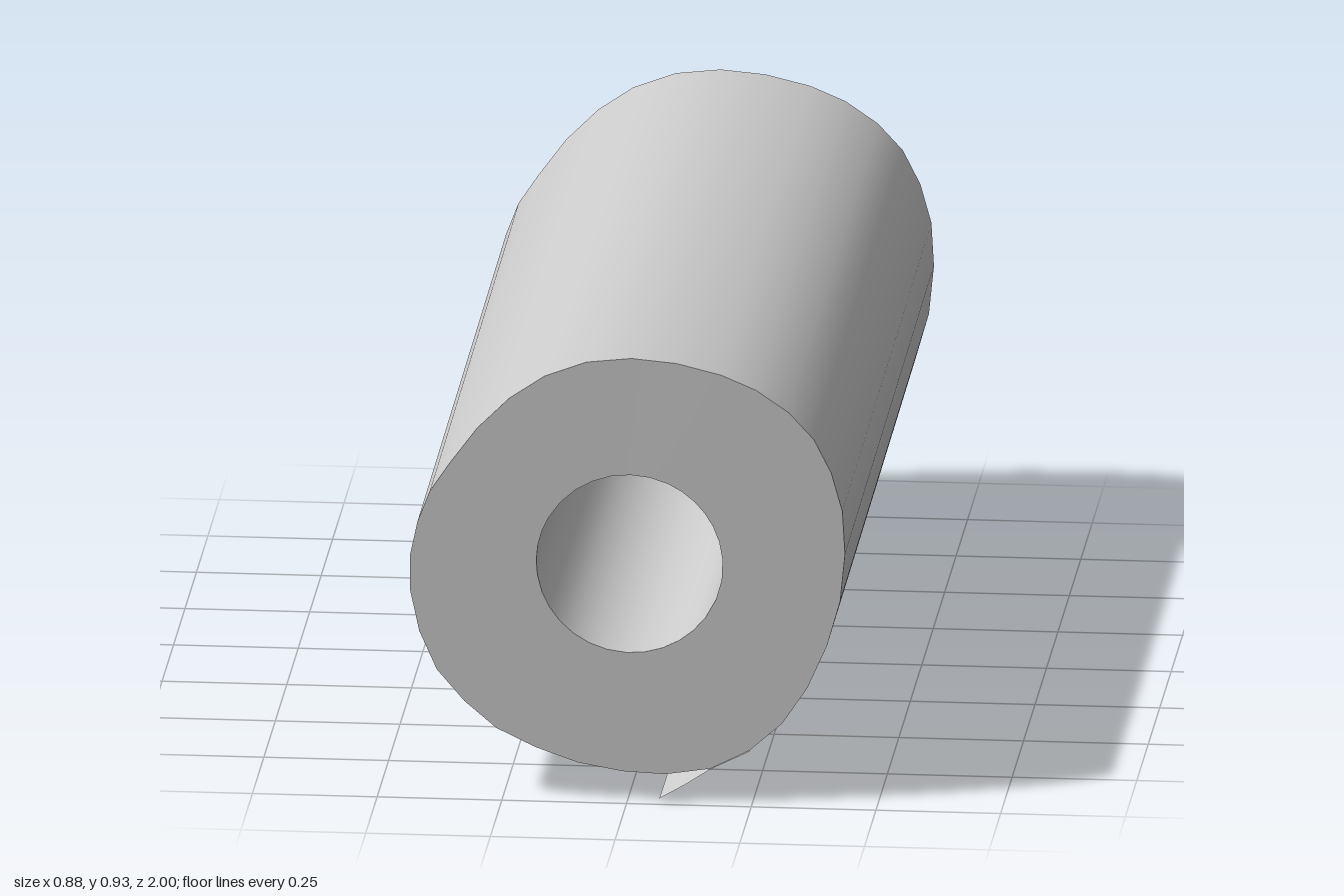
import * as THREE from 'three';

// Outer outline of the wound roll, anticlockwise as seen from the front
const OUTLINE = [
  [0.437, 0.53], [0.432, 0.62], [0.41, 0.70], [0.375, 0.77], [0.325, 0.825], [0.26, 0.87], [0.19, 0.90], [0.10, 0.922],
  [0.01, 0.93], [-0.08, 0.92], [-0.165, 0.888], [-0.235, 0.84], [-0.30, 0.775], [-0.355, 0.70], [-0.395, 0.64], [-0.42, 0.575],
  [-0.435, 0.505], [-0.435, 0.43], [-0.417, 0.345], [-0.382, 0.265], [-0.327, 0.20], [-0.263, 0.145], [-0.185, 0.107], [-0.10, 0.077],
  [-0.01, 0.061], [0.075, 0.057], [0.165, 0.071], [0.245, 0.112], [0.31, 0.17], [0.36, 0.245], [0.40, 0.335], [0.427, 0.43],
];
const CENTRE = [0.005, 0.498];
const HOLE_RADIUS = 0.187;
const BACK_SHIFT = -0.004;

// Slightly uneven ends, as on loosely wound material
const frontZ = (y) => 0.974 + 0.026 * Math.min(1, y / 0.9);
const backZ = (x, y) => -0.993 + 0.009 * (y - 0.5) - 0.008 * x;

// Joins successive loops of points into one smooth surface
function skin(name, loops, material, closed = true) {
  const n = loops[0].length;
  const index = [];
  for (let k = 0; k < loops.length - 1; k++) {
    for (let i = 0; i < (closed ? n : n - 1); i++) {
      const j = (i + 1) % n;
      const a = k * n + i, b = k * n + j;
      index.push(a, b, b + n, a, b + n, a + n);
    }
  }
  const geometry = new THREE.BufferGeometry();
  geometry.setAttribute('position', new THREE.Float32BufferAttribute(loops.flat(2), 3));
  geometry.setIndex(index);
  geometry.computeVertexNormals();
  const mesh = new THREE.Mesh(geometry, material);
  mesh.name = name;
  return mesh;
}

export function createModel() {
  const group = new THREE.Group();
  group.name = 'roll';
  const material = new THREE.MeshStandardMaterial({ color: 0xcccccc });
  const thin = new THREE.MeshStandardMaterial({ color: 0xcccccc, side: THREE.DoubleSide });

  // Round hole sampled in the same directions as the outline
  const hole = OUTLINE.map(([x, y]) => {
    const a = Math.atan2(y - CENTRE[1], x - CENTRE[0]);
    return [CENTRE[0] + HOLE_RADIUS * Math.cos(a), CENTRE[1] + HOLE_RADIUS * Math.sin(a)];
  });
  const atFront = (loop) => loop.map(([x, y]) => [x, y, frontZ(y)]);
  const atBack = (loop) => loop.map(([x, y]) => [x + BACK_SHIFT, y, backZ(x, y)]);
  const outerFront = atFront(OUTLINE), outerBack = atBack(OUTLINE);
  const innerFront = atFront(hole), innerBack = atBack(hole);

  group.add(
    skin('outerWall', [outerBack, outerFront], material),
    skin('coreWall', [innerFront, innerBack], material),
    skin('frontEnd', [outerFront, innerFront], material),
    skin('backEnd', [innerBack, outerBack], material),
  );

  // Loose end of the sheet, sagging a little at mid-length
  const sections = [[-0.992, 0.06, 0.010], [0, 0.066, 0.001], [0.983, 0.064, 0.008]];
  const flap = sections.map(([z, x, y]) => {
    const shift = BACK_SHIFT * (1 - z) / 2;
    return [[x, y, z], [0.115 + shift, 0.038, z], [0.165 + shift, 0.071, z], [0.245 + shift, 0.111, z]];
  });
  group.add(skin('looseEnd', flap, thin, false));

  return group;
}
